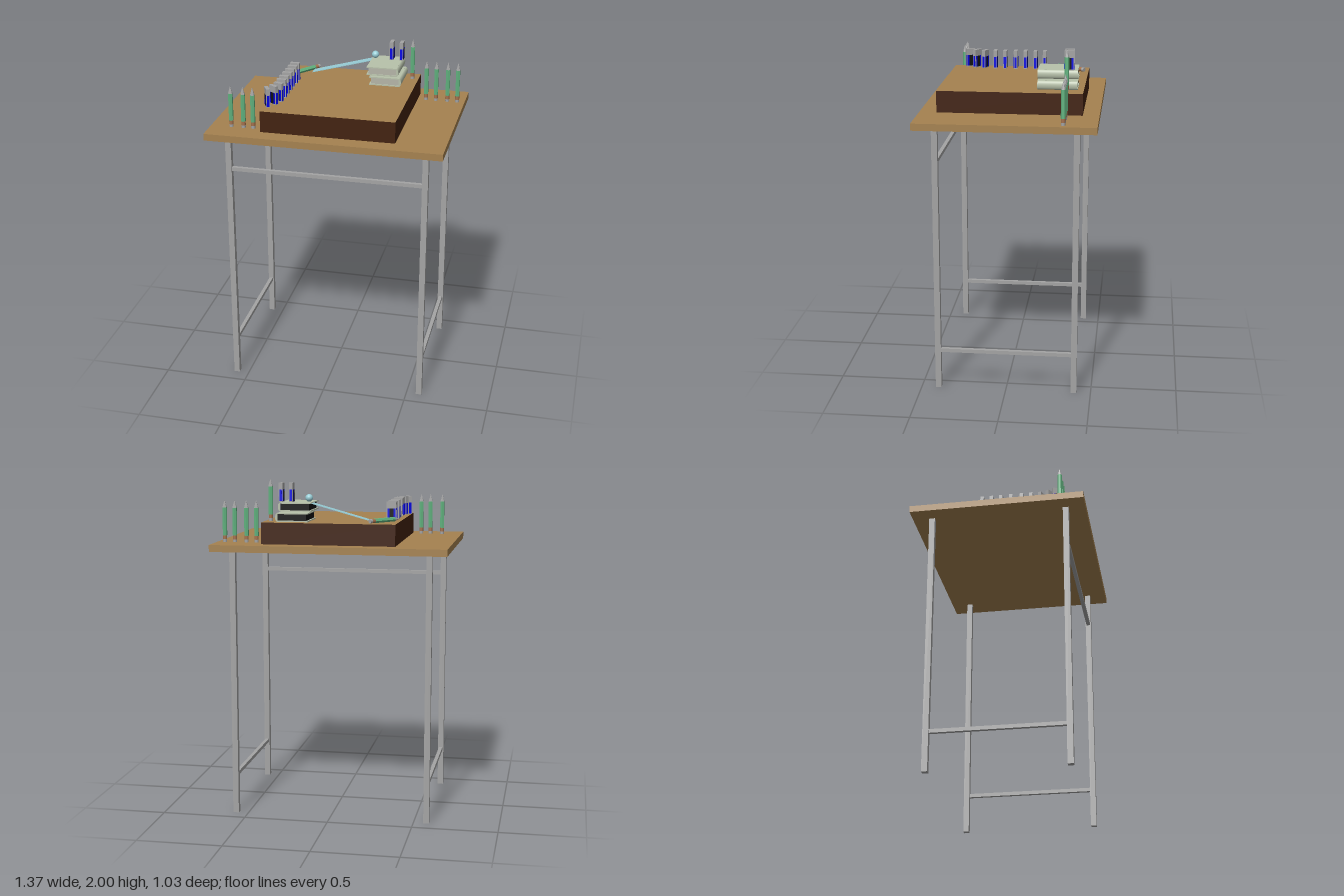
import * as THREE from 'three';

const mat = (name, color) => {
  const m = new THREE.MeshStandardMaterial({ color });
  m.name = name;
  return m;
};

export function createModel() {
  const wood = mat('tan wood', 0xa58250);
  const metal = mat('grey metal', 0xa4a4a4);
  const darkWood = mat('dark brown wood', 0x42210d);
  const green = mat('pencil green', 0x62b480);
  const ferruleBrown = mat('ferrule brown', 0xa5724e);
  const blue = mat('blue', 0x0000e6);
  const black = mat('black', 0x111111);
  const cover = mat('pale green cover', 0xb8c2ab);
  const paper = mat('paper', 0xb4b4a8);
  const lightBlue = mat('light blue', 0x98cdd6);

  const model = new THREE.Group();
  const add = (parent, name, geometry, material, x = 0, y = 0, z = 0) => {
    const mesh = new THREE.Mesh(geometry, material);
    mesh.name = name;
    mesh.position.set(x, y, z);
    parent.add(mesh);
    return mesh;
  };
  const box = (parent, name, w, h, d, material, x, y, z) =>
    add(parent, name, new THREE.BoxGeometry(w, h, d), material, x, y, z);
  const group = (name, x, y, z) => {
    const g = new THREE.Group();
    g.name = name;
    g.position.set(x, y, z);
    model.add(g);
    return g;
  };

  // Table: top, four square legs, low side bars and one high front bar
  const table = group('table', 0, 0, 0);
  box(table, 'tableTop', 1.37, 0.04, 1.03, wood, 0, 1.605, 0);
  for (const sx of [-1, 1]) {
    for (const sz of [-1, 1]) box(table, 'leg', 0.034, 1.585, 0.034, metal, sx * 0.575, 0.7925, sz * 0.4);
    box(table, 'sideBar', 0.022, 0.022, 0.77, metal, sx * 0.575, 0.235, 0);
  }
  box(table, 'frontBar', 1.12, 0.022, 0.022, metal, 0, 1.377, 0.4);

  // Raised platform with dark sides and a tan top
  box(model, 'platform', 0.78, 0.125, 0.835, [darkWood, darkWood, wood, darkWood, darkWood, darkWood], 0.01, 1.6875, -0.0025);

  // Pencil: eraser at the base, point at the top
  const pencil = (x, y, z) => {
    const g = group('pencil', x, y, z);
    const section = (name, r0, r1, y0, y1, material, sides) => {
      const geo = new THREE.CylinderGeometry(r1, r0, y1 - y0, sides);
      add(g, name, sides === 6 ? geo.toNonIndexed() : geo, material, 0, (y0 + y1) / 2, 0);
      if (sides === 6) g.children.at(-1).geometry.computeVertexNormals();
    };
    section('eraser', 0.012, 0.012, 0, 0.016, metal, 12);
    section('ferrule', 0.0125, 0.0125, 0.016, 0.038, ferruleBrown, 12);
    section('shaft', 0.0135, 0.0135, 0.038, 0.2, green, 6);
    section('sharpenedEnd', 0.0135, 0.0005, 0.2, 0.245, metal, 6);
    return g;
  };
  for (const x of [0.45, 0.51, 0.58, 0.64]) pencil(x, 1.625, -0.325);
  for (const x of [-0.565, -0.492, -0.435]) pencil(x, 1.625, 0.365);
  pencil(0.363, 1.752, -0.325);
  const lying = pencil(-0.23, 1.765, -0.395);
  lying.name = 'lyingPencil';
  lying.quaternion.setFromUnitVectors(
    new THREE.Vector3(0, 1, 0), new THREE.Vector3(-0.14, 0, 0.195).normalize());

  // Domino: grey block with blue and black panels on its lower part
  const domino = (x, y, z, turn = 0) => {
    const g = group('domino', x, y, z);
    g.rotation.y = turn;
    box(g, 'block', 0.056, 0.11, 0.022, metal, 0, 0.055, 0);
    for (const s of [-1, 1]) {
      box(g, 'bluePanel', 0.046, 0.066, 0.001, blue, 0, 0.038, s * 0.0113);
      box(g, 'blackPanel', 0.024, 0.066, 0.001, black, 0, 0.038, s * 0.012);
      box(g, 'blueEnd', 0.001, 0.066, 0.014, blue, s * 0.0283, 0.038, 0);
    }
  };
  for (const z of [-0.147, -0.09, -0.028, 0.032, 0.098, 0.158]) domino(-0.32, 1.75, z);
  domino(-0.32, 1.75, 0.222, -0.35);
  domino(-0.335, 1.75, 0.275, -0.58);
  domino(-0.36, 1.75, 0.321, -1.1);
  for (const x of [0.235, 0.295]) domino(x, 1.865, -0.335, Math.PI / 2);

  // Books: two covers, a rounded spine on the +x side and a page block
  const book = (x, y) => {
    const g = group('book', x, y, -0.27);
    for (const h of [0.004, 0.048]) box(g, 'cover', 0.18, 0.007, 0.23, cover, -0.005, h, 0);
    box(g, 'pages', 0.168, 0.038, 0.218, [paper, black, paper, paper, paper, black], -0.001, 0.026, 0);
    const spine = add(g, 'spine', new THREE.CylinderGeometry(0.0258, 0.0258, 0.23, 16, 1, false, 0, Math.PI),
      cover, 0.083, 0.0258, 0);
    spine.rotation.x = Math.PI / 2;
    spine.scale.x = 0.55;
  };
  book(0.227, 1.752);
  book(0.21, 1.812);

  // Sloping ramp and the ball at its top
  const rise = 0.105, run = 0.38;
  const ramp = box(model, 'ramp', Math.hypot(rise, run), 0.004, 0.057, lightBlue, -0.06, 1.809, -0.322);
  ramp.rotation.z = Math.atan2(rise, run);
  add(model, 'ball', new THREE.SphereGeometry(0.022, 24, 16), lightBlue, 0.135, 1.888, -0.325);

  return model;
}
